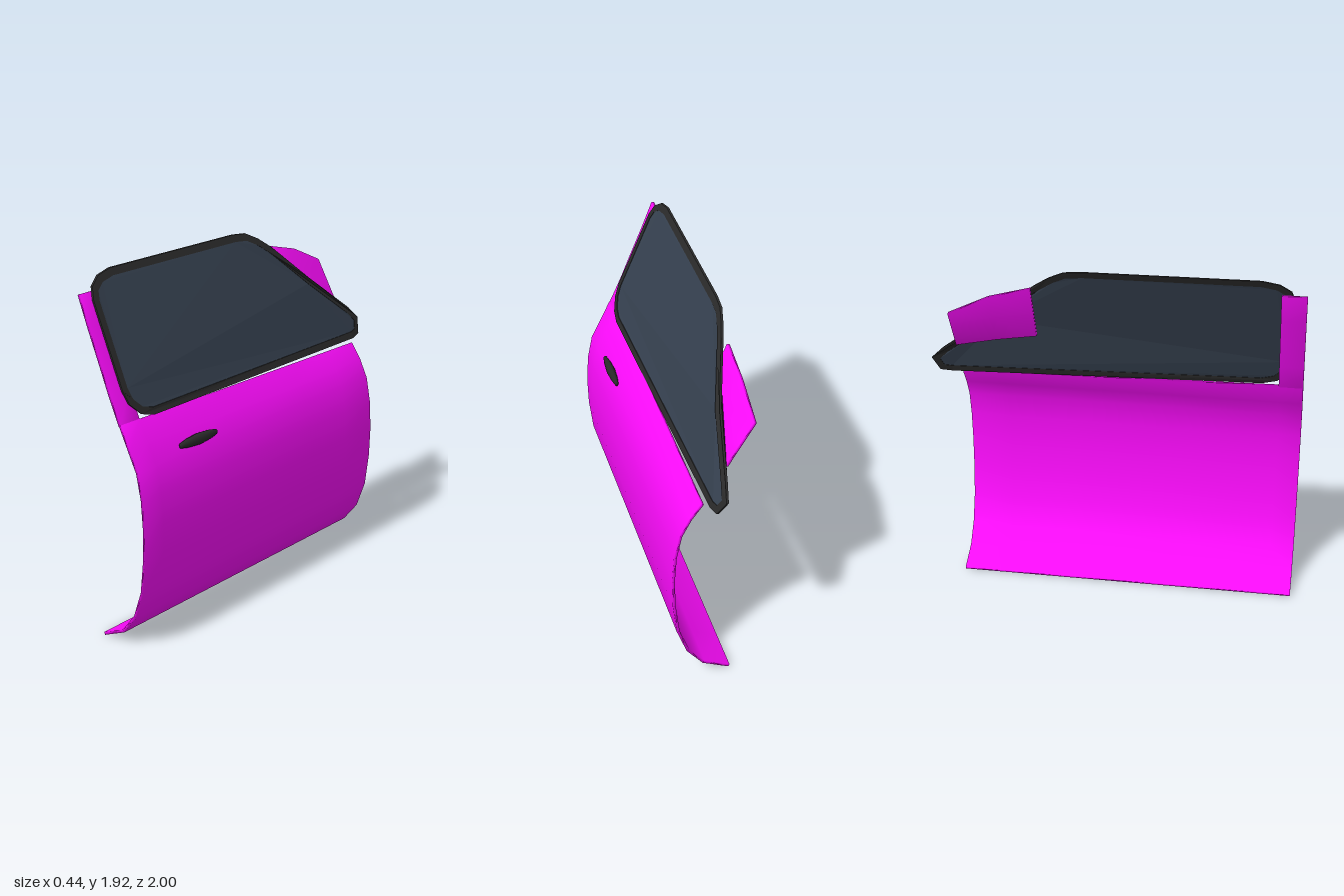
import * as THREE from 'three';

const paint = new THREE.MeshStandardMaterial({ color: 0xff0cff, side: THREE.DoubleSide });
const rubber = new THREE.MeshStandardMaterial({ color: 0x2a2a2a, side: THREE.DoubleSide });
const tint = new THREE.MeshStandardMaterial({ color: 0x364150, side: THREE.DoubleSide });

// Closed sheet from rows of outer [x, y, z] points, thickened inwards
function sheet(rows, t = 0.016) {
  const n = rows.length, m = rows[0].length, pos = [], idx = [];
  for (const row of rows) for (const p of row) pos.push(...p);
  for (const row of rows) row.forEach(([x, y, z], k) => {
    const a = row[Math.max(k - 1, 0)], b = row[Math.min(k + 1, m - 1)];
    const dx = b[0] - a[0], dy = b[1] - a[1], l = Math.hypot(dx, dy);
    pos.push(x - dy / l * t, y + dx / l * t * -1 * -1, z);
  });
  const quad = (a, b, c, d) => idx.push(a, b, c, a, c, d);
  const o = (i, k) => i * m + k, q = (i, k) => n * m + i * m + k;
  for (let i = 0; i < n - 1; i++) for (let k = 0; k < m - 1; k++) {
    quad(o(i, k), o(i + 1, k), o(i + 1, k + 1), o(i, k + 1));
    quad(q(i, k), q(i, k + 1), q(i + 1, k + 1), q(i + 1, k));
  }
  for (let i = 0; i < n - 1; i++) {
    quad(q(i, 0), q(i + 1, 0), o(i + 1, 0), o(i, 0));
    quad(o(i, m - 1), o(i + 1, m - 1), q(i + 1, m - 1), q(i, m - 1));
  }
  for (let k = 0; k < m - 1; k++) {
    quad(q(0, k), o(0, k), o(0, k + 1), q(0, k + 1));
    quad(o(n - 1, k), q(n - 1, k), q(n - 1, k + 1), o(n - 1, k + 1));
  }
  const g = new THREE.BufferGeometry();
  g.setAttribute('position', new THREE.Float32BufferAttribute(pos, 3));
  g.setIndex(idx);
  g.computeVertexNormals();
  return g;
}

// Window plane: leans inwards with height and curls in towards the front corner
function windowX(y, z) {
  const u = (y - 1.2) / 0.72;
  const t = THREE.MathUtils.clamp((-0.2 - z) / 0.8, 0, 1);
  return 0.085 - 0.305 * u + 0.05 * u * (1 - u) - 0.07 * t * t;
}

// Extrude a (-z, y) shape and lay it on the window plane
function onWindow(shape, depth, offset) {
  const g = new THREE.ExtrudeGeometry(shape, { depth, bevelEnabled: false });
  const p = g.attributes.position;
  for (let i = 0; i < p.count; i++) {
    const y = p.getY(i), z = -p.getX(i);
    p.setXYZ(i, windowX(y, z) + offset + p.getZ(i), y, z);
  }
  g.computeVertexNormals();
  return g;
}

// Move every corner of a counter-clockwise outline inwards by d
function inset(pts, d) {
  const n = pts.length;
  return pts.map((p, i) => {
    const e1 = p.clone().sub(pts[(i + n - 1) % n]).normalize();
    const e2 = pts[(i + 1) % n].clone().sub(p).normalize();
    const n1 = new THREE.Vector2(-e1.y, e1.x), n2 = new THREE.Vector2(-e2.y, e2.x);
    return n1.clone().add(n2).multiplyScalar(d / (1 + n1.dot(n2))).add(p);
  });
}

export function createModel() {
  const group = new THREE.Group();
  const add = (name, geometry, material) => {
    const mesh = new THREE.Mesh(geometry, material);
    mesh.name = name;
    group.add(mesh);
    return mesh;
  };

  // Lower door skin: bowed profile, belt line dropping slightly to the front
  const profile = [[-0.1, 0.002], [0.045, 0.07], [0.135, 0.185], [0.19, 0.34], [0.213, 0.53],
    [0.218, 0.7], [0.208, 0.86], [0.18, 1.0], [0.13, 1.1]];
  const skinRows = [1, 0.87, 0.3, -0.3, -0.62, -0.85].map(z =>
    [...profile, [0.068, 1.205 + 0.02 * z]].map(([x, y]) => [x, y, z]));
  add('doorSkin', sheet(skinRows), paint);

  // Rear window pillar
  const pillar = [[0.068, 1.22], [0.0, 1.37], [-0.065, 1.53], [-0.13, 1.685], [-0.19, 1.84]];
  add('rearPillar', sheet([1, 0.87].map(z => pillar.map(([x, y]) => [x, y, z]))), paint);

  // Front corner piece behind the glass: z, lower height, upper height
  const corner = [[-0.41, 1.48, 1.8], [-0.63, 1.445, 1.74], [-0.85, 1.4, 1.635]];
  add('frontCornerPiece', sheet(corner.map(([z, lo, hi]) =>
    [0, 0.5, 1].map(s => [-0.05 - 0.138 * s, lo + (hi - lo) * s, z]))), paint);

  // Window glass and its seal, outline as z, y
  const outline = [[0.94, 1.375], [0.92, 1.305], [0.86, 1.245], [0.78, 1.222], [-0.9, 1.195],
    [-0.965, 1.205], [-1, 1.29], [-0.93, 1.36], [-0.635, 1.59], [-0.4, 1.8], [-0.315, 1.86],
    [-0.235, 1.9], [-0.14, 1.91], [0.77, 1.92], [0.86, 1.902], [0.92, 1.86], [0.94, 1.8]]
    .map(([z, y]) => new THREE.Vector2(-z, y));
  const inner = inset(outline, 0.036);
  const seal = new THREE.Shape(outline);
  seal.holes.push(new THREE.Path(inner));
  add('windowSeal', onWindow(seal, 0.012, -0.006), rubber);
  add('windowGlass', onWindow(new THREE.Shape(inner), 0.006, -0.003), tint);

  // Door handle: slim spindle along z
  const spindle = [[0, -0.135], [0.014, -0.133], [0.025, -0.08], [0.032, 0],
    [0.025, 0.08], [0.014, 0.133], [0, 0.135]].map(([r, h]) => new THREE.Vector2(r, h));
  const handleGeo = new THREE.LatheGeometry(spindle, 10).rotateX(Math.PI / 2).scale(0.75, 1, 1);
  const handle = add('doorHandle', handleGeo, rubber);
  handle.position.set(0.174, 1.05, 0.56);

  return group;
}
